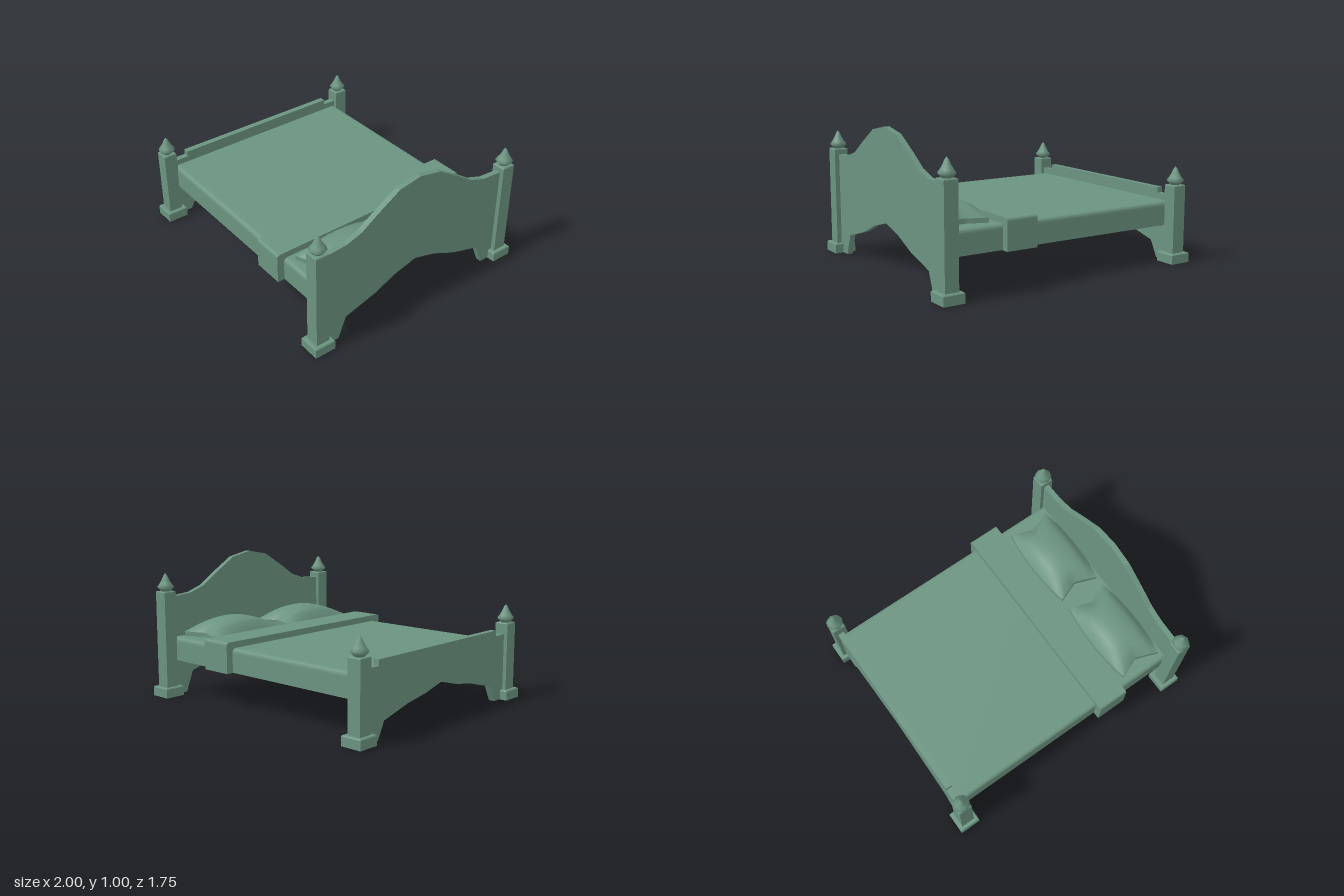
import * as THREE from 'three';

const COLOR = 0x6b9380;
const smooth = new THREE.MeshStandardMaterial({ color: COLOR });
const flat = new THREE.MeshStandardMaterial({ color: COLOR, flatShading: true, side: THREE.DoubleSide });

function mesh(name, geometry, material = smooth) {
  const m = new THREE.Mesh(geometry, material);
  m.name = name;
  return m;
}

// Lathe from [radius, height] pairs, bottom to top
const lathe = (pts, sides, phase = 0) =>
  new THREE.LatheGeometry(pts.map(([r, y]) => new THREE.Vector2(r, y)), sides, phase);

// Square turned part: radii are given as half widths
const square = (pts) => lathe(pts.map(([h, y]) => [h * Math.SQRT2, y]), 4, Math.PI / 4);

// Extrude a (z, y) outline along x from x0 to x1
function alongX(shape, x0, x1) {
  const g = new THREE.ExtrudeGeometry(shape, { depth: x1 - x0, bevelEnabled: false, curveSegments: 5 });
  return g.rotateY(Math.PI / 2).translate(x0, 0, 0);
}

// Bedpost with plinth and pointed finial
function bedpost(name, x, z, top) {
  const g = new THREE.Group();
  g.name = name;
  g.add(mesh('plinth', square([[0.0775, 0], [0.0775, 0.063], [0.072, 0.07], [0.05, 0.07]]), flat));
  g.add(mesh('post', square([[0, 0.02], [0.05, 0.02], [0.05, top - 0.006], [0.045, top], [0, top]]), flat));
  const finial = mesh('finial', lathe(
    [[0.03, -0.002], [0.047, 0.015], [0.061, 0.032], [0.044, 0.053], [0.027, 0.083], [0.014, 0.113], [0, 0.13]], 8));
  finial.position.y = top;
  g.add(finial);
  g.position.set(x, 0, z);
  return g;
}

// Board outline mirrored about z = 0; both halves are listed from the outside to the middle
function board(name, upper, lower, x0, x1) {
  const half = [...lower].reverse().concat(upper); // lower middle, outwards, then up to the upper middle
  const other = [...half].reverse().map(([z, y]) => [-z, y]);
  const pts = half.concat(other).map(([z, y]) => new THREE.Vector2(z, y));
  return mesh(name, alongX(new THREE.Shape(pts), x0, x1));
}

// Open-bottomed cover: a rounded arch outline with wall thickness t
function cover(name, x0, x1, half, bottom, top, r, t) {
  const s = new THREE.Shape();
  s.moveTo(half, bottom);
  s.lineTo(half, top - r);
  s.quadraticCurveTo(half, top, half - r, top);
  s.lineTo(r - half, top);
  s.quadraticCurveTo(-half, top, -half, top - r);
  s.lineTo(-half, bottom);
  s.lineTo(t - half, bottom);
  s.lineTo(t - half, top - r);
  s.lineTo(r - half, top - t);
  s.lineTo(half - r, top - t);
  s.lineTo(half - t, top - r);
  s.lineTo(half - t, bottom);
  return mesh(name, alongX(s, x0, x1));
}

// Pillow: box with pinched ends, bulging long sides and a domed top
function pillow(name, zc) {
  const g = new THREE.BoxGeometry(2, 1, 2, 10, 1, 12);
  const p = g.attributes.position;
  for (let i = 0; i < p.count; i++) {
    const u = p.getX(i), v = p.getZ(i);
    const a = Math.max(0, 1 - u * u), b = Math.max(0, 1 - v * v);
    const x = 0.71 + u * (0.16 + 0.03 * b);
    const z = zc + v * (0.325 - 0.06 * (1 - Math.abs(u)));
    const y = p.getY(i) > 0 ? 0.465 + 0.1 * Math.sqrt(a) * Math.pow(b, 0.6) : 0.432;
    p.setXYZ(i, x, y, z);
  }
  g.computeVertexNormals();
  return mesh(name, g);
}

export function createModel() {
  const bed = new THREE.Group();
  bed.name = 'bed';

  // Four posts, taller at the head
  for (const [side, z] of [['Front', 0.8], ['Back', -0.8]]) {
    bed.add(bedpost('headPost' + side, 0.9225, z, 0.77));
    bed.add(bedpost('footPost' + side, -0.9225, z, 0.555));
  }

  // Head and foot boards with arched lower edges
  bed.add(board('headboard',
    [[0.76, 0.728], [0.7, 0.732], [0.59, 0.74], [0.47, 0.78], [0.35, 0.86], [0.17, 0.97], [0, 1.003]],
    [[0.76, 0.002], [0.65, 0.002], [0.59, 0.155], [0.35, 0.225], [0.17, 0.305], [0, 0.35]], 0.9, 0.94));
  bed.add(board('footboard',
    [[0.76, 0.475], [0.645, 0.475], [0.645, 0.515], [0, 0.515]],
    [[0.76, 0.002], [0.65, 0.002], [0.59, 0.12], [0.35, 0.185], [0.17, 0.215], [0, 0.26]], -0.945, -0.9));

  // Bedding
  bed.add(cover('mattressCover', -0.9, 0.9, 0.755, 0.262, 0.432, 0.035, 0.008));
  bed.add(cover('foldedBlanket', 0.265, 0.495, 0.807, 0.26, 0.477, 0.025, 0.055));
  bed.add(pillow('pillowBack', -0.355));
  bed.add(pillow('pillowFront', 0.375));

  return bed;
}
